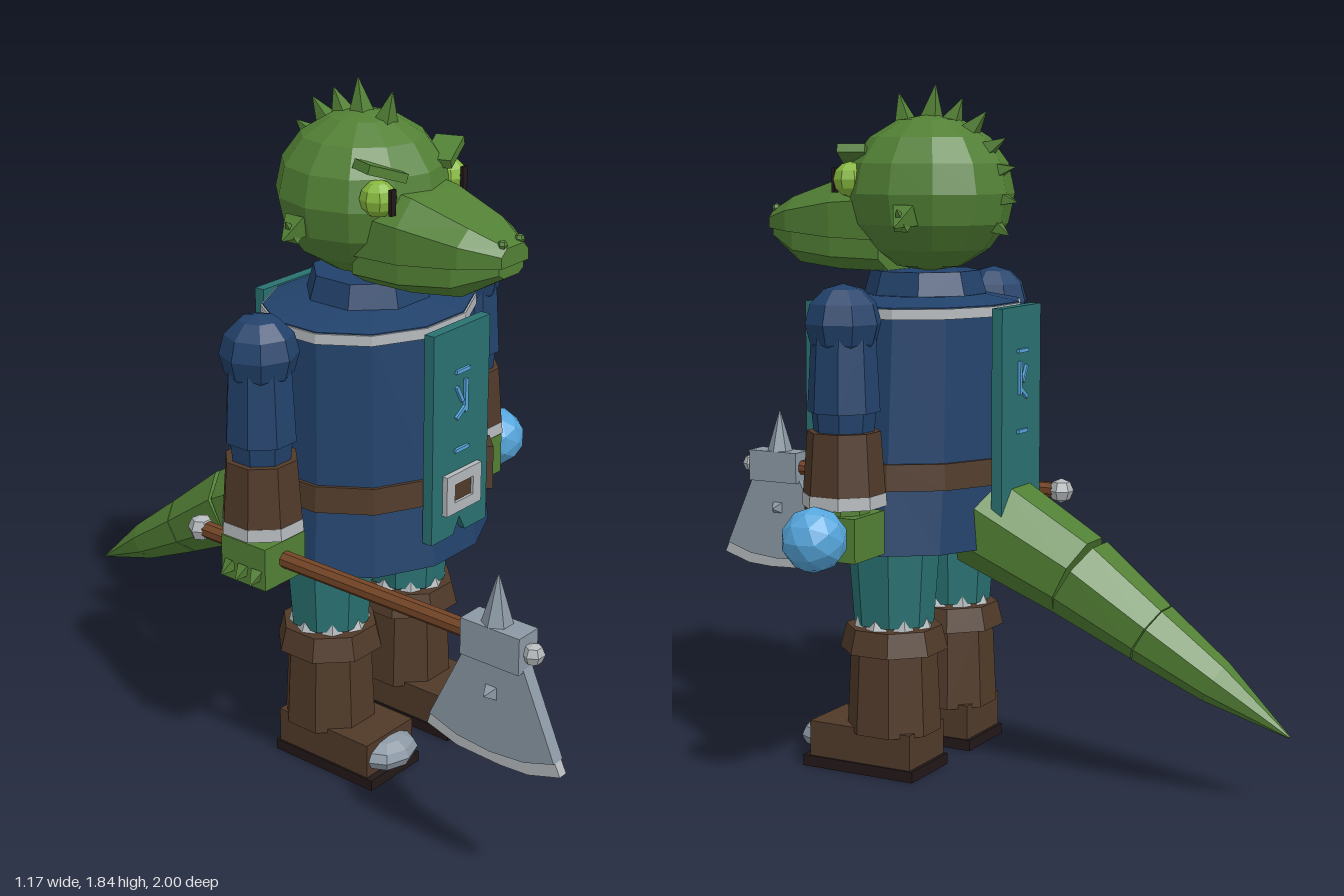
import * as THREE from 'three';

const colours = {
  navy: 0x22426b, teal: 0x2a7171, leather: 0x503a29, wood: 0x744526, green: 0x528035,
  eyeGreen: 0x86b83c, silver: 0xb4b8bb, steel: 0x8b98a4, dark: 0x221818, glowBlue: 0x56a6dc,
};
const mats = {};
for (const name in colours) {
  mats[name] = new THREE.MeshStandardMaterial({ color: colours[name] });
  mats[name].name = name;
}
const CX = -0.06; // body midline
const V = (x, y, z) => new THREE.Vector3(x, y, z);

// faceted mesh added to a parent
function add(parent, name, geo, mat, x = 0, y = 0, z = 0) {
  const g = geo.index ? geo.toNonIndexed() : geo;
  g.computeVertexNormals();
  const m = new THREE.Mesh(g, mats[mat]);
  m.name = name;
  m.position.set(x, y, z);
  parent.add(m);
  return m;
}
const box = (w, h, d) => new THREE.BoxGeometry(w, h, d);
const ball = (r, w = 8, h = 6) => new THREE.SphereGeometry(r, w, h);
// upright prism whose flat sides face the axes
function prism(rt, rb, h, n = 8) {
  const k = 1 / Math.cos(Math.PI / n);
  return new THREE.CylinderGeometry(rt * k, rb * k, h, n).rotateY(Math.PI / n);
}
// tapered rod between two points
function rod(parent, name, a, b, ra, rb, mat, n = 8) {
  const m = add(parent, name, prism(rb, ra, a.distanceTo(b), n), mat);
  m.position.copy(a).lerp(b, 0.5);
  m.quaternion.setFromUnitVectors(V(0, 1, 0), b.clone().sub(a).normalize());
  return m;
}
// closed skin over cross-sections, each counter-clockwise about the travel direction
function loft(rings) {
  const n = rings[0].length, pts = [], idx = [];
  rings.forEach(r => r.forEach(p => pts.push(p)));
  rings.slice(1).forEach((_, j) => {
    for (let i = 0; i < n; i++) {
      const a = j * n + i, b = j * n + (i + 1) % n;
      idx.push(a, b, a + n, b, b + n, a + n);
    }
  });
  const last = (rings.length - 1) * n;
  for (let i = 1; i < n - 1; i++) idx.push(0, i + 1, i, last, last + i, last + i + 1);
  return new THREE.BufferGeometry().setFromPoints(pts).setIndex(idx);
}
// twelve-sided horizontal ring
const ring = (y, rx, rz, cz) => Array.from({ length: 12 }, (_, i) => {
  const t = (i + 0.5) * Math.PI / 6, k = 1.035;
  return V(Math.sin(t) * rx * k, y, cz + Math.cos(t) * rz * k);
});

function buildBody(g) {
  add(g, 'tunic', loft([ring(0.74, 0.27, 0.22, 0.07), ring(0.64, 0.31, 0.26, 0.08), ring(0.62, 0.33, 0.275, 0.08),
    ring(0.83, 0.302, 0.262, 0.07), ring(1.265, 0.285, 0.25, 0.06), ring(1.285, 0.17, 0.16, 0.055)]), 'navy', CX);
  add(g, 'collar', prism(0.137, 0.16, 0.085), 'navy', CX, 1.305, 0.055);
  // bands: outer wall, then folded back inside
  add(g, 'shoulderTrim', loft([ring(1.235, 0.291, 0.256, 0.06), ring(1.262, 0.29, 0.255, 0.06)]), 'silver', CX);
  add(g, 'belt', loft([ring(0.79, 0.315, 0.275, 0.07), ring(0.86, 0.31, 0.27, 0.07)]), 'leather', CX);
  const pouch = add(g, 'beltPouch', box(0.1, 0.12, 0.07), 'leather', 0.2, 0.765, 0.23);
  pouch.rotation.set(0, 0.75, -0.08);

  // cloth panels, notched at the hem
  const cloth = new THREE.Shape([[-0.115, 1.26], [-0.115, 0.69], [-0.025, 0.69], [0, 0.735], [0.025, 0.69],
    [0.115, 0.69], [0.115, 1.26]].map(p => new THREE.Vector2(...p)));
  const panel = new THREE.ExtrudeGeometry(cloth, { depth: 0.03, bevelEnabled: false });
  add(g, 'frontTabard', panel, 'teal', CX, 0, 0.335);
  add(g, 'backTabard', panel.clone(), 'teal', CX, 0, -0.237);
  // rune strokes: x, y, width, height, tilt
  const strokes = [[0, 1.142, 0.055, 0.01, 0], [0.014, 1.07, 0.012, 0.09, 0], [-0.012, 1.08, 0.01, 0.05, 0.5],
    [-0.004, 1.03, 0.05, 0.01, 0.6], [0, 0.927, 0.055, 0.01, 0]];
  for (const z of [0.368, -0.24]) for (const [x, y, w, h, tilt] of strokes)
    add(g, 'rune', box(w, h, 0.009), 'glowBlue', CX + x, y, z).rotation.z = tilt;

  const frame = new THREE.Shape([[-0.072, -0.055], [0.072, -0.055], [0.072, 0.055], [-0.072, 0.055]].map(p => new THREE.Vector2(...p)));
  frame.holes.push(new THREE.Path([[-0.038, -0.025], [-0.038, 0.025], [0.038, 0.025], [0.038, -0.025]].map(p => new THREE.Vector2(...p))));
  add(g, 'buckle', new THREE.ExtrudeGeometry(frame, { depth: 0.015, bevelEnabled: false }), 'silver', CX, 0.815, 0.365);
  add(g, 'buckleCentre', box(0.076, 0.05, 0.008), 'leather', CX, 0.815, 0.368);
}

function buildHead(g) {
  add(g, 'head', ball(1, 12, 8).scale(0.225, 0.21, 0.23), 'green', CX, 1.553, 0.04);
  // jaws: z, half width, mouth height, outer height
  const jaw = (rows, up) => loft(rows.map(([z, w, m, o]) => {
    const p = [[1, 0], [1, 0.6], [0.6, 1], [-0.6, 1], [-1, 0.6], [-1, 0]].map(([x, f]) => V(x * w, m + (o - m) * f, z));
    return up ? p : p.reverse();
  }));
  add(g, 'upperJaw', jaw([[0.12, 0.15, 1.43, 1.61], [0.27, 0.15, 1.435, 1.59], [0.43, 0.115, 1.447, 1.54],
    [0.52, 0.055, 1.452, 1.5]], true), 'green', CX);
  add(g, 'lowerJaw', jaw([[0.12, 0.14, 1.43, 1.345], [0.27, 0.143, 1.435, 1.348], [0.41, 0.112, 1.447, 1.362],
    [0.51, 0.05, 1.45, 1.42]], false), 'green', CX);
  for (const s of [-1, 1]) {
    add(g, 'nostril', ball(0.013, 6, 4), 'green', CX + s * 0.035, 1.507, 0.507);
    add(g, 'eye', ball(0.047), 'eyeGreen', CX + s * 0.14, 1.59, 0.205);
    add(g, 'pupil', box(0.018, 0.066, 0.009), 'dark', CX + s * 0.142, 1.588, 0.252);
    const brow = add(g, 'brow', box(0.115, 0.024, 0.075), 'green', CX + s * 0.125, 1.655, 0.2);
    brow.rotation.set(0, s * 0.35, s * 0.33);
    rod(g, 'cheekSpike', V(CX + s * 0.205, 1.5, 0), V(CX + s * 0.265, 1.47, 0), 0.03, 0.002, 'green', 4);
    rod(g, 'cheekSpike', V(CX + s * 0.215, 1.47, 0), V(CX + s * 0.25, 1.515, 0), 0.02, 0.002, 'green', 4);
  }
  // crest running over the crown to the nape
  [[0.38, 0.285], [-0.02, 0.29], [-0.33, 0.27], [-0.62, 0.275], [-0.95, 0.27], [-1.25, 0.265], [-1.6, 0.262], [-1.95, 0.26]].forEach(([t, r]) => {
    const at = (d, k) => V(CX, 1.55 + Math.cos(t + k) * d, 0.04 + Math.sin(t + k) * d);
    rod(g, 'crestSpike', at(0.19, 0), at(r, -0.04), 0.026, 0.001, 'green', 4);
  });
}

function buildArm(g, s) {
  const x = CX + s * 0.42, z = 0.06;
  const arm = new THREE.Group();
  arm.name = s > 0 ? 'leftArm' : 'rightArm';
  g.add(arm);
  add(arm, 'shoulder', ball(0.1), 'navy', x, 1.235, z);
  add(arm, 'upperArm', prism(0.077, 0.087, 0.2), 'navy', x, 1.11, z);
  add(arm, 'elbow', prism(0.078, 0.072, 0.06), 'navy', x, 0.985, z);
  add(arm, 'bracer', prism(0.088, 0.099, 0.16), 'leather', x, 0.88, z);
  add(arm, 'bracerTrim', prism(0.1, 0.102, 0.033), 'silver', x, 0.784, z);
  add(arm, 'wrist', prism(0.06, 0.06, 0.06), 'green', x, 0.755, z);
  add(arm, 'hand', box(0.15, 0.115, 0.15), 'green', x, 0.69, z);
  if (s < 0) for (let i = -1; i < 2; i++)
    rod(arm, 'knuckleSpike', V(x - 0.07, 0.672, z + i * 0.045), V(x - 0.105, 0.652, z + i * 0.05), 0.016, 0.001, 'green', 4);
}

function buildLeg(g, s) {
  const x = CX + s * 0.165, z = 0.06;
  const leg = new THREE.Group();
  leg.name = s > 0 ? 'leftLeg' : 'rightLeg';
  g.add(leg);
  add(leg, 'trouserLeg', prism(0.122, 0.1, 0.32), 'teal', x, 0.57, z);
  // ragged fringe above the boot
  for (let i = 0; i < 8; i++) {
    const t = i * Math.PI / 4;
    const tuft = add(leg, 'fringe', new THREE.ConeGeometry(0.04, i % 2 ? 0.075 : 0.05, 4), 'silver',
      x + Math.sin(t) * 0.095, 0.42, z + Math.cos(t) * 0.095);
    tuft.rotation.y = t;
    tuft.scale.z = 0.5;
  }
  add(leg, 'bootCuff', prism(0.12, 0.135, 0.065), 'leather', x, 0.37, z);
  add(leg, 'bootShaft', prism(0.108, 0.118, 0.23), 'leather', x, 0.23, z);
  add(leg, 'foot', box(0.19, 0.1, 0.31), 'leather', x, 0.077, 0.115);
  add(leg, 'sole', box(0.2, 0.03, 0.34), 'dark', x, 0.015, 0.12);
  add(leg, 'toeCap', ball(1, 8, 6).scale(0.092, 0.046, 0.075), 'steel', x, 0.073, 0.262);
}

function buildTail(g) {
  const rows = [[-0.13, 0.69, 0.13], [-0.41, 0.55, 0.108], [-0.62, 0.42, 0.08], [-0.8, 0.312, 0.055], [-1, 0.193, 0.003]];
  for (let i = 0; i < 4; i++) {
    const [za, ya, ra] = rows[i], [zb, yb, rb] = rows[i + 1];
    const seg = rod(g, 'tailSegment', V(CX, ya, za), V(CX, yb, zb), ra, rb, 'green');
    seg.scale.set(1.06, i < 2 ? 0.97 : 1, 1);
  }
}

function buildAxe(g) {
  const axe = new THREE.Group();
  axe.name = 'axe';
  axe.position.set(-0.48, 0.695, 0);
  g.add(axe);
  rod(axe, 'handle', V(0, 0, -0.15), V(0, 0, 0.75), 0.021, 0.021, 'wood');
  add(axe, 'pommel', ball(0.036, 6, 4), 'silver', 0, 0, -0.16);
  add(axe, 'axeHead', box(0.074, 0.095, 0.17), 'steel', 0, 0, 0.805);
  rod(axe, 'topSpike', V(0, 0.045, 0.8), V(0, 0.17, 0.8), 0.034, 0.002, 'steel', 6);
  add(axe, 'frontKnob', ball(0.028, 6, 4), 'silver', 0, 0, 0.905);
  // blade outlines in (z, y), swept across the thickness
  const plate = (name, pts, t, mat) => {
    const shape = new THREE.Shape(pts.map(([z, y]) => new THREE.Vector2(-z, y)));
    const geo = new THREE.ExtrudeGeometry(shape, { depth: t, bevelEnabled: false }).translate(0, 0, -t / 2).rotateY(Math.PI / 2);
    add(axe, name, geo, mat);
  };
  plate('blade', [[0.89, -0.04], [0.985, -0.255], [0.9, -0.283], [0.8, -0.292], [0.7, -0.283], [0.617, -0.255], [0.72, -0.04]], 0.036, 'steel');
  plate('bladeEdge', [[0.985, -0.255], [1, -0.287], [0.91, -0.315], [0.83, -0.32], [0.7, -0.315], [0.607, -0.287], [0.617, -0.255],
    [0.7, -0.283], [0.8, -0.292], [0.9, -0.283]], 0.026, 'silver');
  for (const s of [-1, 1])
    rod(axe, 'bladeStud', V(s * 0.015, -0.13, 0.8), V(s * 0.045, -0.13, 0.8), 0.018, 0.002, 'steel', 4);
}

export function createModel() {
  const g = new THREE.Group();
  g.name = 'lizardWarrior';
  buildBody(g);
  buildHead(g);
  for (const s of [-1, 1]) { buildArm(g, s); buildLeg(g, s); }
  buildTail(g);
  buildAxe(g);
  add(g, 'magicOrb', new THREE.IcosahedronGeometry(0.085, 1), 'glowBlue', 0.502, 0.7, 0.063);
  return g;
}
